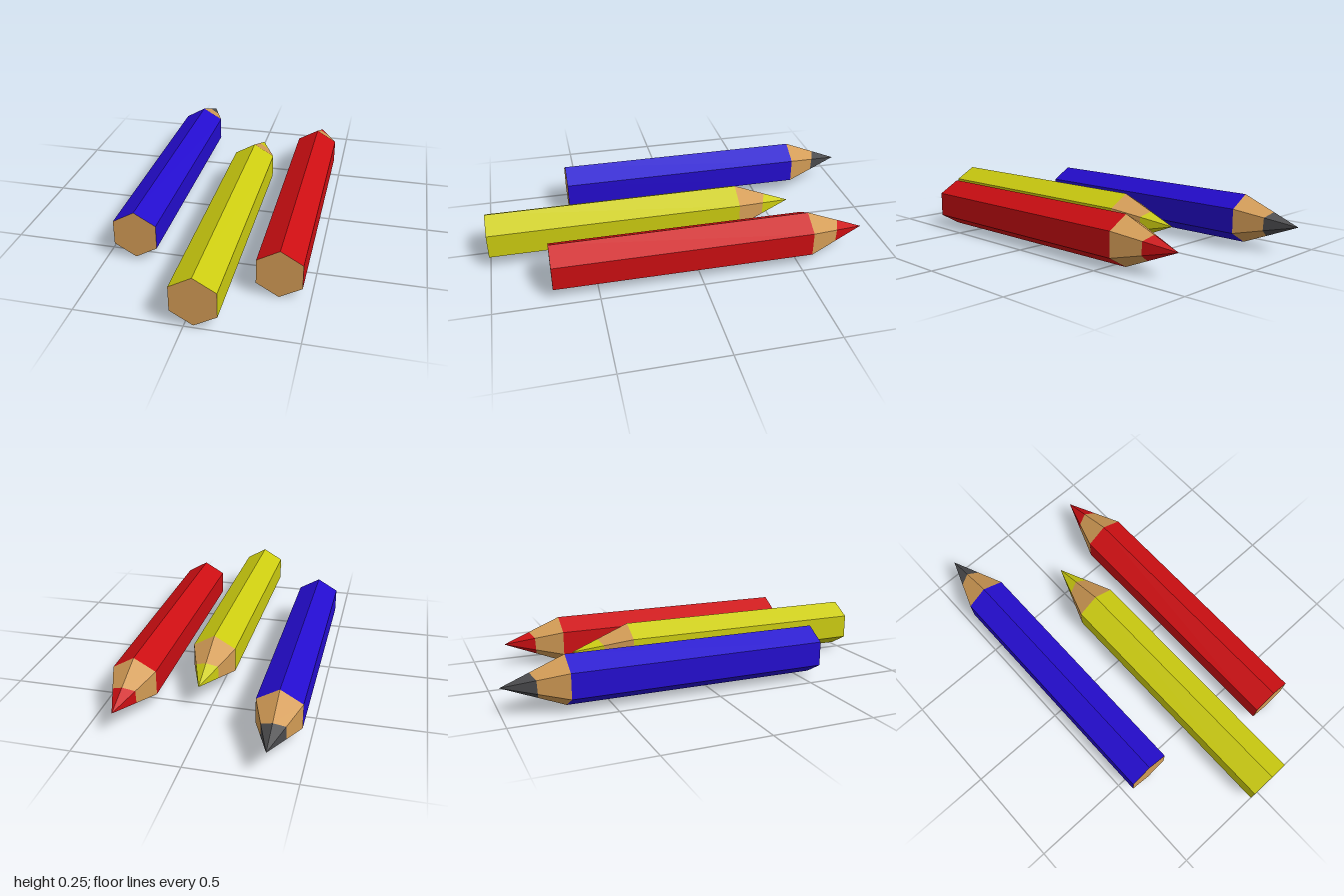
import * as THREE from 'three';

const RADIUS = 0.121, BODY = 1.275, POINT = 0.295;

const material = (color) => new THREE.MeshStandardMaterial({ color, flatShading: true });

// Open six-sided tube along z with a ridge on top; its far end is at -z.
function hexTube(farRadius, length) {
  return new THREE.CylinderGeometry(1, farRadius, length, 6, 1, true).rotateX(Math.PI / 2);
}

// Uneven line where wood meets lead, as a share of the point's length; h is the corner's height, -1 to 1.
const sharpenLine = (h) => (h > 0.9 ? 0.45 : h > 0 ? 0.52 : h > -0.9 ? 0.53 : 0.57);

// Slice of the sharpened point; near and far give the distance share from the tip for each corner.
function pointSlice(near, far, farRadius) {
  const geometry = hexTube(farRadius, 1);
  const p = geometry.attributes.position;
  for (let i = 0; i < p.count; i++) {
    const x = p.getX(i), y = p.getY(i);
    const f = p.getZ(i) > 0 ? near(y) : far(y);
    p.setXYZ(i, x * RADIUS * f, y * RADIUS * f, POINT * f);
  }
  geometry.computeVertexNormals();
  return geometry;
}

function createPencil(name, paint, leadColor) {
  const pencil = new THREE.Group();
  pencil.name = name;
  const add = (part, geometry, mat) => {
    const mesh = new THREE.Mesh(geometry, mat);
    mesh.name = part;
    pencil.add(mesh);
    return mesh;
  };
  const wood = material(0xd29b55);

  // Painted barrel
  const barrel = hexTube(1, BODY).scale(RADIUS, RADIUS, 1);
  add('barrel', barrel, material(paint)).position.z = POINT + BODY / 2;

  // Flat wooden end
  add('woodEnd', new THREE.CircleGeometry(RADIUS, 6, Math.PI / 2), wood).position.z = POINT + BODY;

  // Sharpened wood and lead tip
  add('sharpenedWood', pointSlice(() => 1, sharpenLine, 1), wood);
  add('lead', pointSlice(sharpenLine, () => 0, 0), material(leadColor));
  return pencil;
}

export function createModel() {
  const model = new THREE.Group();
  model.name = 'pencils';
  // name, paint, lead, x, y of the axis, z of the tip
  const pencils = [
    ['bluePencil', 0x240cce, 0x4a4a4c, -0.359, 0.133, -1],
    ['yellowPencil', 0xcccc10, 0xcccc10, 0.044, 0.133, -0.57],
    ['redPencil', 0xcc0e12, 0xcc0e12, 0.357, 0.121, -0.855],
  ];
  for (const [name, paint, lead, x, y, z] of pencils) {
    const pencil = createPencil(name, paint, lead);
    pencil.position.set(x, y, z);
    model.add(pencil);
  }
  return model;
}
